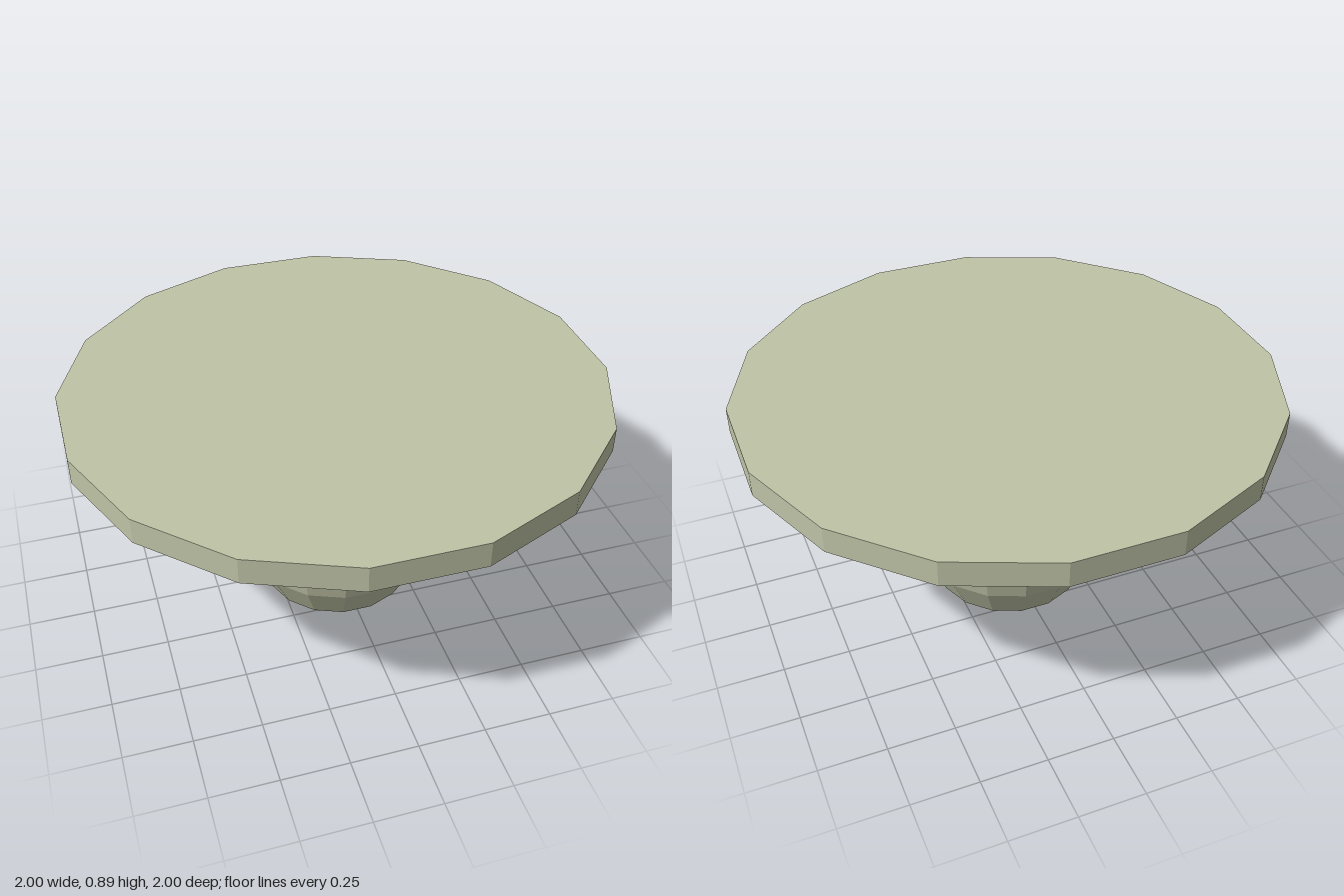
import * as THREE from 'three';

const SIDES = 16;
const HALF_STEP = Math.PI / SIDES;
// Radius to the corners for a given distance to the flats
const corner = (flat) => flat / Math.cos(HALF_STEP);

export function createModel() {
  const group = new THREE.Group();
  group.name = 'roundKnob';
  const material = new THREE.MeshStandardMaterial({ color: 0xbfc3a6, flatShading: true });

  const add = (name, geometry, y = 0) => {
    const mesh = new THREE.Mesh(geometry, material);
    mesh.name = name;
    mesh.position.y = y;
    group.add(mesh);
  };
  const turned = (profile) => new THREE.LatheGeometry(
    profile.map(([r, y]) => new THREE.Vector2(corner(r), y)), SIDES, HALF_STEP);

  // Rounded stem with a closed foot
  add('stem', turned([[0, 0], [0.29, 0], [0.365, 0.15], [0.4, 0.31], [0.4, 0.59]]));

  // Flared collar under the plate
  add('collar', turned([[0.4, 0.59], [0.625, 0.793]]));

  // Flat top plate
  add('topPlate', new THREE.CylinderGeometry(
    corner(1), corner(1), 0.097, SIDES, 1, false, HALF_STEP), 0.8415);

  return group;
}
